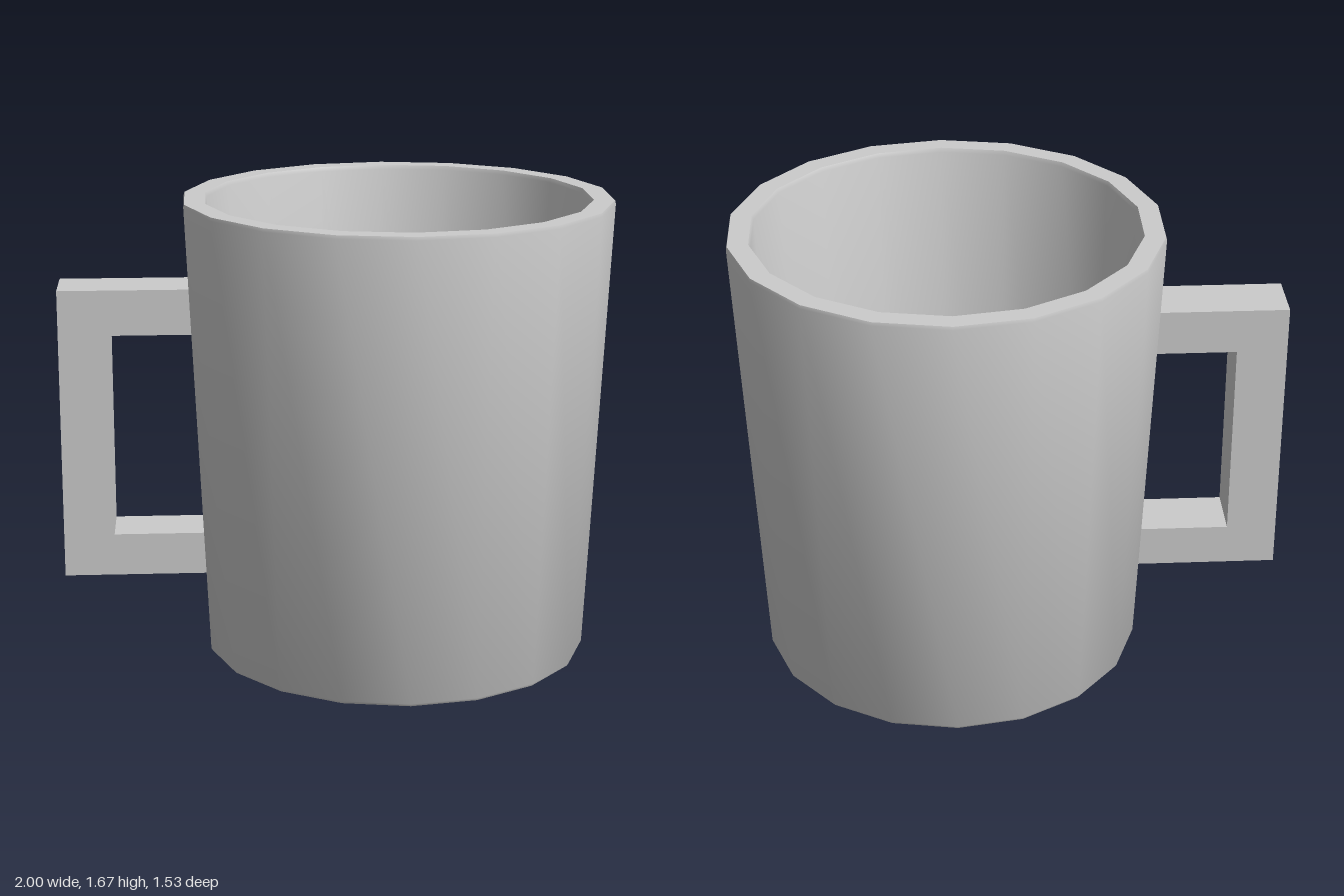
import * as THREE from 'three';
import { toCreasedNormals } from 'three/addons/utils/BufferGeometryUtils.js';

const SIDES = 18;
const HEIGHT = 1.675;
const STEP = (Math.PI * 2) / SIDES;

export function createModel() {
  const mug = new THREE.Group();
  mug.name = 'mug';
  mug.position.x = 0.22;
  const material = new THREE.MeshStandardMaterial({ color: 0xcccccc });

  // Cup: one closed profile, up the outside, over the rim and down to the floor
  const profile = [
    [0, 0], [0.695, 0], [0.701, 0.01],
    [0.777, HEIGHT - 0.012], [0.774, HEIGHT],
    [0.699, HEIGHT], [0.692, HEIGHT - 0.015],
    [0.645, 0.08], [0, 0.08],
  ].map(([r, y]) => new THREE.Vector2(r, y));
  const cup = new THREE.Mesh(
    toCreasedNormals(new THREE.LatheGeometry(profile, SIDES, Math.PI / 2), 0.6),
    material
  );
  cup.name = 'cup';
  mug.add(cup);

  // Handle: squared bracket whose ends follow the sloping wall
  const wall = (y) => -(0.701 + (0.076 * y) / HEIGHT) * Math.cos(STEP / 2) + 0.012;
  const outer = -1.22, inner = -1.037;
  const [y0, y1, y2, y3] = [0.3, 0.455, 1.2, 1.365];
  const bracket = new THREE.Shape([
    [wall(y0), y0], [wall(y1), y1], [inner, y1], [inner, y2],
    [wall(y2), y2], [wall(y3), y3], [outer, y3], [outer, y0],
  ].map(([x, y]) => new THREE.Vector2(x, y)));
  const width = 0.213;
  const handleGeometry = new THREE.ExtrudeGeometry(bracket, { depth: width, bevelEnabled: false });
  handleGeometry.translate(0, 0, -width / 2);
  const handle = new THREE.Mesh(handleGeometry, material);
  handle.name = 'handle';
  handle.rotation.y = STEP / 2; // square to one facet of the cup
  mug.add(handle);

  const model = new THREE.Group();
  model.add(mug);
  return model;
}
